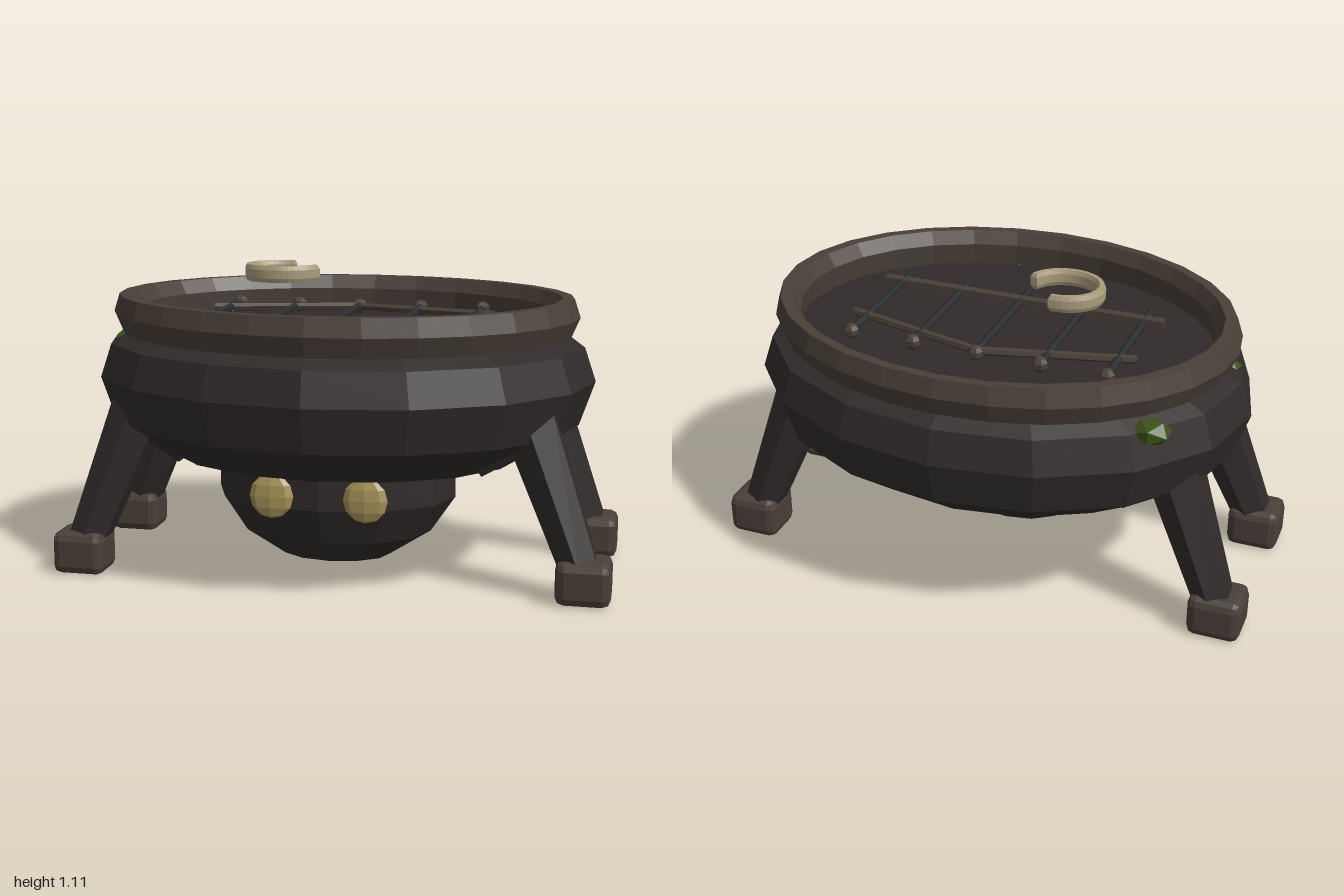
import * as THREE from 'three';
import { RoundedBoxGeometry } from 'three/addons/geometries/RoundedBoxGeometry.js';

const mat = (color) => new THREE.MeshStandardMaterial({ color, flatShading: true });
const iron = mat(0x302b2a), rust = mat(0x493f38), bar = mat(0x2c2d2f);
const glow = mat(0xa8945a), bone = mat(0xa89c7c), moss = mat(0x3c5218);

export function createModel() {
  const model = new THREE.Group();

  function add(name, geometry, material, x = 0, y = 0, z = 0) {
    const mesh = new THREE.Mesh(geometry, material);
    mesh.name = name;
    mesh.position.set(x, y, z);
    model.add(mesh);
    return mesh;
  }

  // Elliptical turned shape; profile radii are fractions of rx and rz
  function oval(profile, segments, rx, rz) {
    const points = profile.map(([r, y]) => new THREE.Vector2(r, y));
    return new THREE.LatheGeometry(points, segments).scale(rx, 1, rz);
  }

  // Straight tapered rod between two points
  function rod(name, a, b, ra, rb, sides, material) {
    const from = new THREE.Vector3(...a), to = new THREE.Vector3(...b);
    const dir = to.clone().sub(from);
    const mesh = add(name, new THREE.CylinderGeometry(rb, ra, dir.length(), sides), material);
    mesh.position.copy(from).add(to).multiplyScalar(0.5);
    mesh.quaternion.setFromUnitVectors(new THREE.Vector3(0, 1, 0), dir.normalize());
    return mesh;
  }

  // Cauldron body with a flat floor inside the rim
  add('body', oval([[0, 0.42], [0.71, 0.42], [0.94, 0.55], [1, 0.71], [0.955, 0.83],
    [0.86, 0.865], [0, 0.86]], 16, 0.91, 0.705), iron);

  // Heavy bevelled rim
  add('rim', oval([[0.9, 0.868], [0.965, 0.865], [1, 0.935], [0.975, 1], [0.925, 1],
    [0.89, 0.95], [0.9, 0.868]], 28, 0.85, 0.655), rust);

  // Round head hanging under the body
  add('head', oval([[0, 0.045], [0.46, 0.075], [0.8, 0.17], [1, 0.3], [1, 0.43], [0.9, 0.5],
    [0, 0.55]], 12, 0.435, 0.3), iron, 0, 0, 0.145);

  for (const side of [-1, 1]) {
    add('eye', new THREE.SphereGeometry(1, 8, 6).scale(0.078, 0.08, 0.024), glow,
      side * 0.165, 0.347, 0.443);

    // Bent legs: hip inside the body, shin down to a blocky foot
    for (const [kneeZ, footZ] of [[0.25, 0.325], [-0.23, -0.275]]) {
      const knee = [side * 0.7, 0.61, kneeZ];
      rod('hip', [side * 0.5, 0.49, kneeZ], knee, 0.1, 0.1, 6, iron);
      rod('shin', [side * 0.895, 0.1, footZ], knee, 0.073, 0.105, 6, iron);
      add('foot', new RoundedBoxGeometry(0.19, 0.155, 0.175, 1, 0.03), rust,
        side * 0.905, 0.0775, footZ);
    }
  }

  // Grate lying over the floor
  const gy = 0.92;
  for (let i = -2; i <= 2; i++) {
    const x = i * 0.235;
    rod('grateBar', [x, gy, -0.26], [x, gy, 0.245], 0.016, 0.016, 6, bar);
    add('grateKnob', new THREE.SphereGeometry(0.029, 6, 5), rust, x, gy, -0.28);
  }
  add('grateFrontRail', new THREE.BoxGeometry(1.08, 0.03, 0.034), rust, 0, gy, 0.165);
  for (const side of [-1, 1]) {
    rod('grateArchRail', [side * 0.53, gy, -0.13], [0, gy, -0.262], 0.015, 0.015, 6, rust);
  }

  // Open ring floating above the grate
  const start = 0.3, end = 1.53 * Math.PI;
  const arc = new THREE.Shape();
  arc.absarc(0, 0, 0.137, start, end, false);
  arc.absarc(0, 0, 0.121, end, start, true);
  const ring = new THREE.ExtrudeGeometry(arc, { depth: 0.03, bevelEnabled: true,
    bevelThickness: 0.015, bevelSize: 0.007, bevelSegments: 1, curveSegments: 14 });
  ring.rotateX(Math.PI / 2).scale(1, 1, 0.86);
  add('openRing', ring, bone, -0.226, 1.09, -0.007);

  // Moss clumps around the rim
  for (const [x, y, z, sx, sy, sz] of [
    [-0.67, 0.825, -0.42, 0.07, 0.045, 0.06],
    [-0.765, 0.83, 0.1, 0.085, 0.04, 0.06],
    [0.54, 0.86, -0.375, 0.05, 0.022, 0.04]]) {
    add('moss', new THREE.IcosahedronGeometry(1, 0).scale(sx, sy, sz), moss, x, y, z);
  }

  return model;
}
